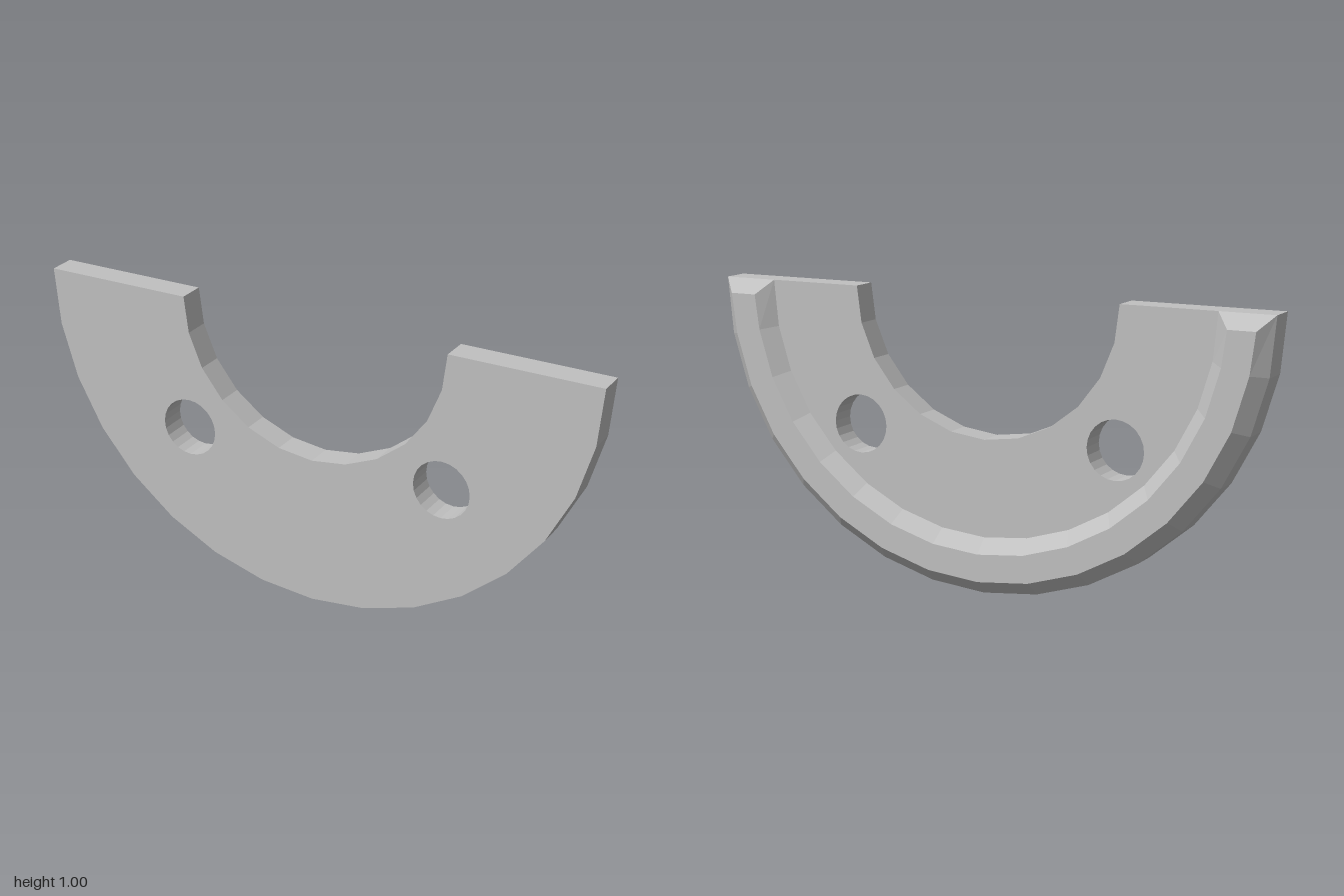
import * as THREE from 'three';

const Z_BACK = -0.071, Z_STEP = -0.022, Z_FRONT = 0.071;
const BEVEL = 0.048, OUTER = 1, RIM_INNER = 0.81;

// Points of a faceted arc
function arc(cx, cy, r, from, to, n) {
  return Array.from({ length: n + 1 }, (_, i) => {
    const a = from + (to - from) * i / n;
    return new THREE.Vector2(cx + r * Math.cos(a), cy + r * Math.sin(a));
  });
}

// Half-ring plate with two round holes
function plateGeometry() {
  const shape = new THREE.Shape([
    ...arc(0, 1, OUTER, Math.PI, 2 * Math.PI, 16),
    ...arc(0, 1, 0.48, 2 * Math.PI, Math.PI, 12),
  ]);
  for (const side of [-1, 1]) {
    const points = arc(side * 0.471, 0.531, 0.1, 0, -2 * Math.PI, 24);
    points.pop();
    shape.holes.push(new THREE.Path(points));
  }
  const geometry = new THREE.ExtrudeGeometry(shape, { depth: Z_FRONT - Z_STEP, bevelEnabled: false });
  return geometry.translate(0, 0, Z_STEP);
}

// Raised rim with a trapezoid section, chamfered at its ends too
function rimGeometry() {
  const profile = [
    [OUTER, Z_STEP], [OUTER - BEVEL, Z_BACK],
    [RIM_INNER + BEVEL, Z_BACK], [RIM_INNER, Z_STEP],
  ];
  const n = 16;
  const sections = Array.from({ length: n + 1 }, (_, i) => {
    const a = Math.PI * (1 + i / n);
    return profile.map(([r, z]) => {
      const top = z === Z_BACK ? 1 - BEVEL : 1;
      return [r * Math.cos(a), Math.min(1 + r * Math.sin(a), top), z];
    });
  });
  const positions = [];
  const quad = (a, b, c, d) => positions.push(...a, ...b, ...c, ...a, ...c, ...d);
  for (let i = 0; i < n; i++) {
    const s = sections[i], t = sections[i + 1];
    for (let j = 0; j < 3; j++) quad(s[j], s[j + 1], t[j + 1], t[j]);
  }
  const [a, b, c, d] = sections[0];
  quad(a, d, c, b);
  quad(...sections[n]);
  const geometry = new THREE.BufferGeometry();
  geometry.setAttribute('position', new THREE.Float32BufferAttribute(positions, 3));
  geometry.computeVertexNormals();
  return geometry;
}

export function createModel() {
  const group = new THREE.Group();
  group.name = 'halfRingBracket';
  const grey = new THREE.MeshStandardMaterial({ color: 0xc0c0c0, flatShading: true });
  grey.name = 'light grey';

  const plate = new THREE.Mesh(plateGeometry(), grey);
  plate.name = 'plate';
  const rim = new THREE.Mesh(rimGeometry(), grey);
  rim.name = 'backRim';
  group.add(plate, rim);
  return group;
}
